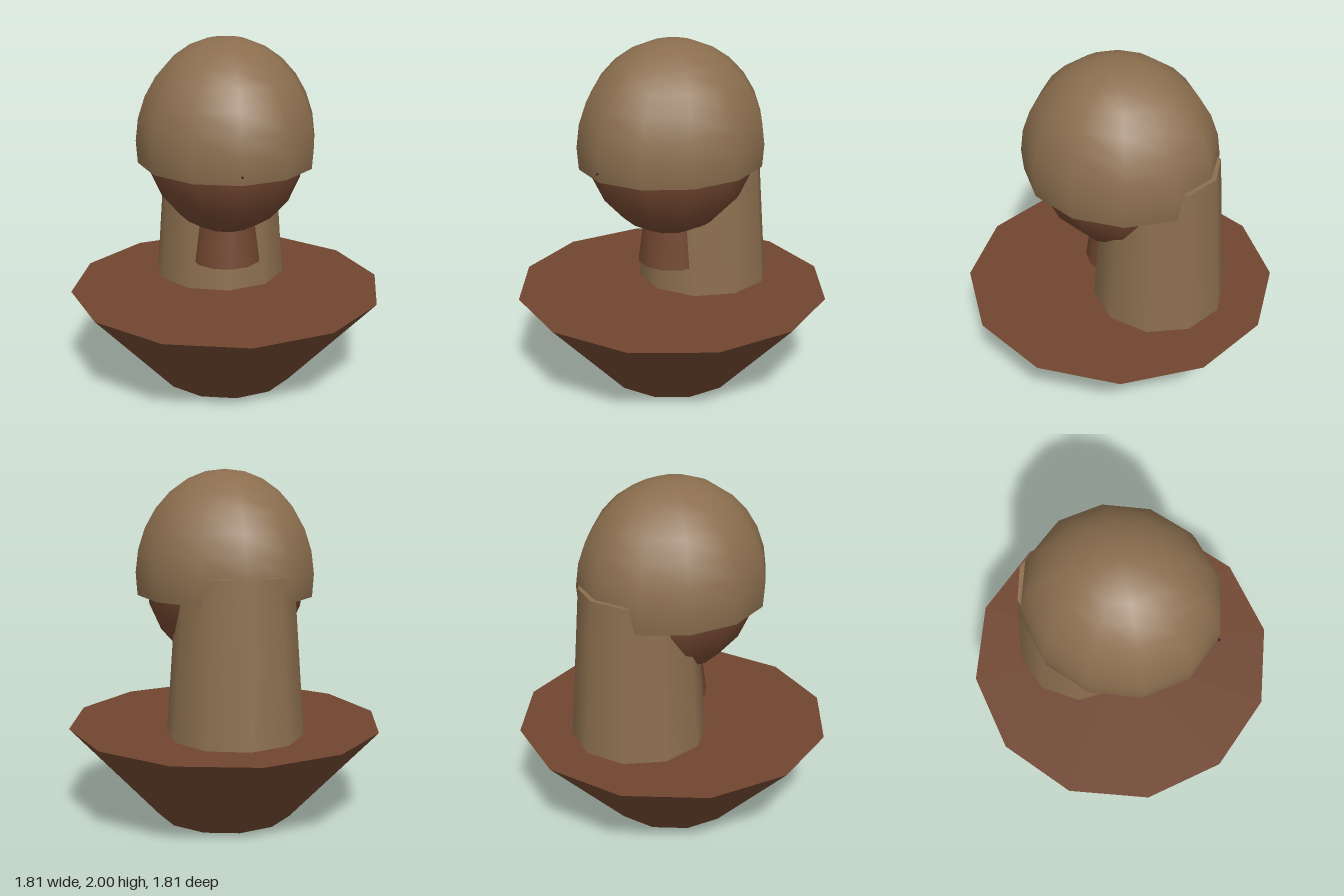
import * as THREE from 'three';

export function createModel() {
  const model = new THREE.Group();
  model.name = 'bust';

  const material = (name, color, side = THREE.FrontSide) => {
    const m = new THREE.MeshStandardMaterial({ color, side });
    m.name = name;
    return m;
  };
  const brown = material('brown', 0x70452f);
  const tan = material('tan', 0x8b6e4e, THREE.DoubleSide);
  const black = material('black', 0x1a1614);

  const add = (parent, name, geometry, mat, x = 0, y = 0, z = 0) => {
    const mesh = new THREE.Mesh(geometry, mat);
    mesh.name = name;
    mesh.position.set(x, y, z);
    parent.add(mesh);
    return mesh;
  };

  // Flared base, with its corners on the x and z axes
  add(model, 'base', new THREE.CylinderGeometry(0.905, 0.395, 0.55, 12), brown, 0, 0.275, 0);

  // Tapered column behind the head
  add(model, 'backColumn', new THREE.CylinderGeometry(0.32, 0.385, 0.9, 10), tan, 0, 1.0, -0.265);

  // Short tapered piece below the chin
  add(model, 'chinPiece', new THREE.CylinderGeometry(0.155, 0.2, 0.34, 12), brown, 0, 0.88, 0);

  // Head and open cap share one stretched centre
  const head = new THREE.Group();
  head.name = 'headGroup';
  head.position.y = 1.415;
  head.scale.set(0.51, 0.585, 0.56);
  model.add(head);
  add(head, 'head', new THREE.SphereGeometry(0.896, 12, 10), brown);
  add(head, 'cap', new THREE.SphereGeometry(1, 12, 8, 0, Math.PI * 2, 0, Math.PI * 0.56), tan);

  // Tiny stud at the front of the cap
  add(model, 'stud', new THREE.SphereGeometry(0.007, 8, 6), black, 0, 1.355, 0.561);

  return model;
}
